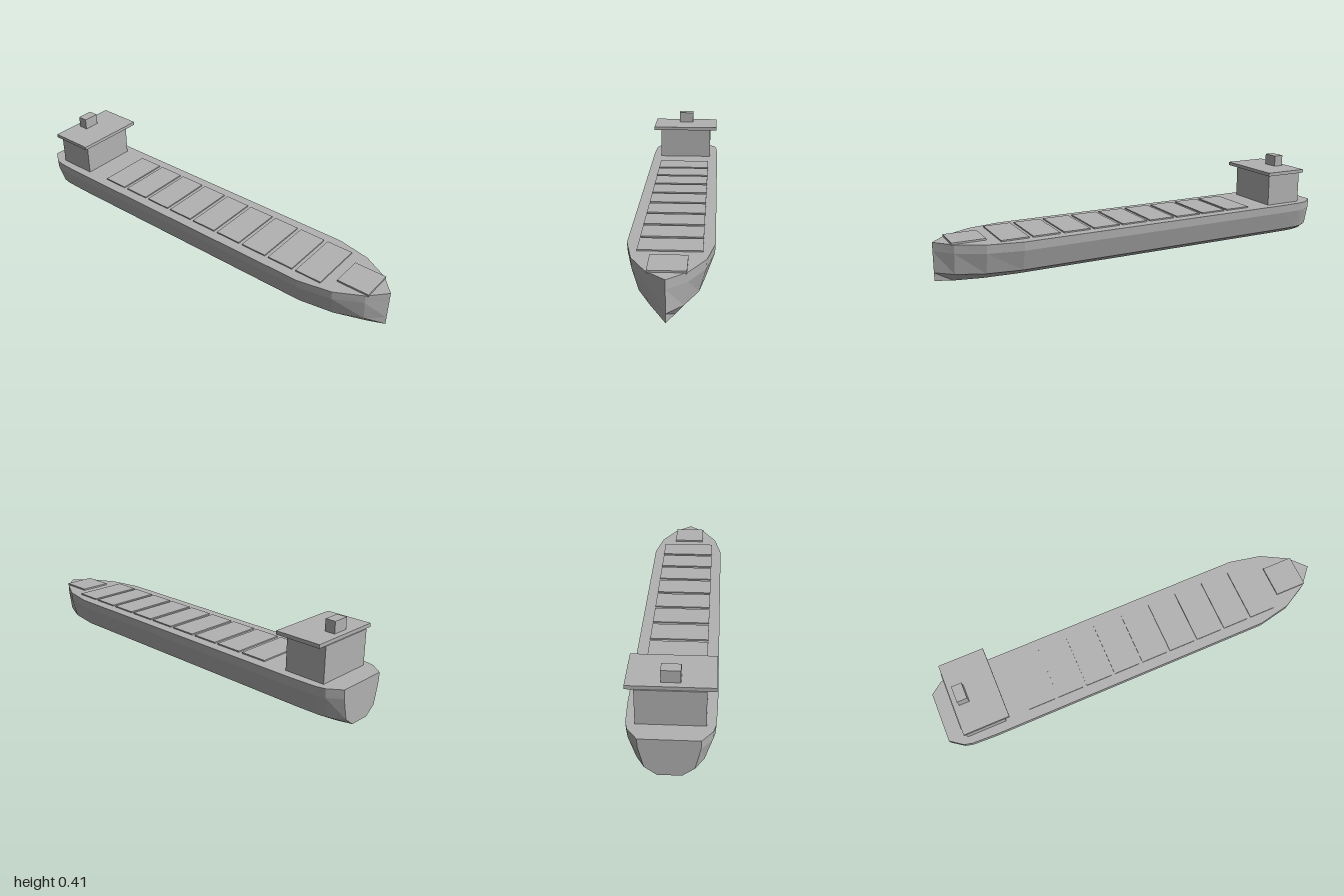
import * as THREE from 'three';

const steel = new THREE.MeshStandardMaterial({ color: 0xb2b2b2, flatShading: true });
steel.name = 'grey steel';

// Lofts the midship section along the deck outline, narrowing it at bow and stern
function hullGeometry() {
  const stations = [ // x, half width at deck
    [-1, 0.125], [-0.94, 0.17], [-0.9, 0.18], [-0.78, 0.185],
    [0.64, 0.185], [0.8, 0.152], [0.925, 0.083], [1, 0],
  ];
  const half = [[0.178, 1], [0.137, 0.984], [0.038, 0.8], [0, 0.4]]; // y, share of half width
  const ring = [...half, ...half.map(([y, s]) => [y, -s]).reverse()];
  const n = ring.length;
  const point = (i, j) => {
    const [x, w] = stations[i];
    const [y, s] = ring[j % n];
    return [x, y, s * w];
  };
  const pos = [];
  const tri = (a, b, c) => pos.push(...a, ...b, ...c);
  for (let i = 0; i < stations.length - 1; i++) {
    for (let j = 0; j < n; j++) {
      const a = point(i, j), b = point(i + 1, j);
      const c = point(i, j + 1), d = point(i + 1, j + 1);
      tri(a, c, d);
      if (stations[i + 1][1] > 0 || j !== n - 1) tri(a, d, b);
    }
  }
  // Transom
  for (let j = 1; j < n - 1; j++) tri(point(0, 0), point(0, j + 1), point(0, j));
  const g = new THREE.BufferGeometry();
  g.setAttribute('position', new THREE.Float32BufferAttribute(pos, 3));
  g.computeVertexNormals();
  return g;
}

export function createModel() {
  const ship = new THREE.Group();
  ship.name = 'cargoShip';

  const hull = new THREE.Mesh(hullGeometry(), steel);
  hull.name = 'hull';
  ship.add(hull);

  // Box between two x and two y values, centred on z = 0
  const block = (name, x0, x1, y0, y1, halfWidth) => {
    const m = new THREE.Mesh(new THREE.BoxGeometry(x1 - x0, y1 - y0, halfWidth * 2), steel);
    m.position.set((x0 + x1) / 2, (y0 + y1) / 2, 0);
    m.name = name;
    ship.add(m);
  };

  // Superstructure at the stern
  block('deckhouse', -0.91, -0.715, 0.17, 0.342, 0.142);
  block('bridgeDeck', -0.905, -0.685, 0.341, 0.358, 0.179);
  block('funnel', -0.877, -0.828, 0.355, 0.413, 0.04);

  // Cargo hatches along the deck
  for (let i = 0; i < 9; i++) {
    const x = -0.592 + i * 0.149;
    block('hatchCover' + (i + 1), x, x + 0.13, 0.174, 0.184, 0.135);
  }

  // Raised plate at the bow
  block('forecastle', 0.78, 0.935, 0.174, 0.186, 0.078);

  return ship;
}
